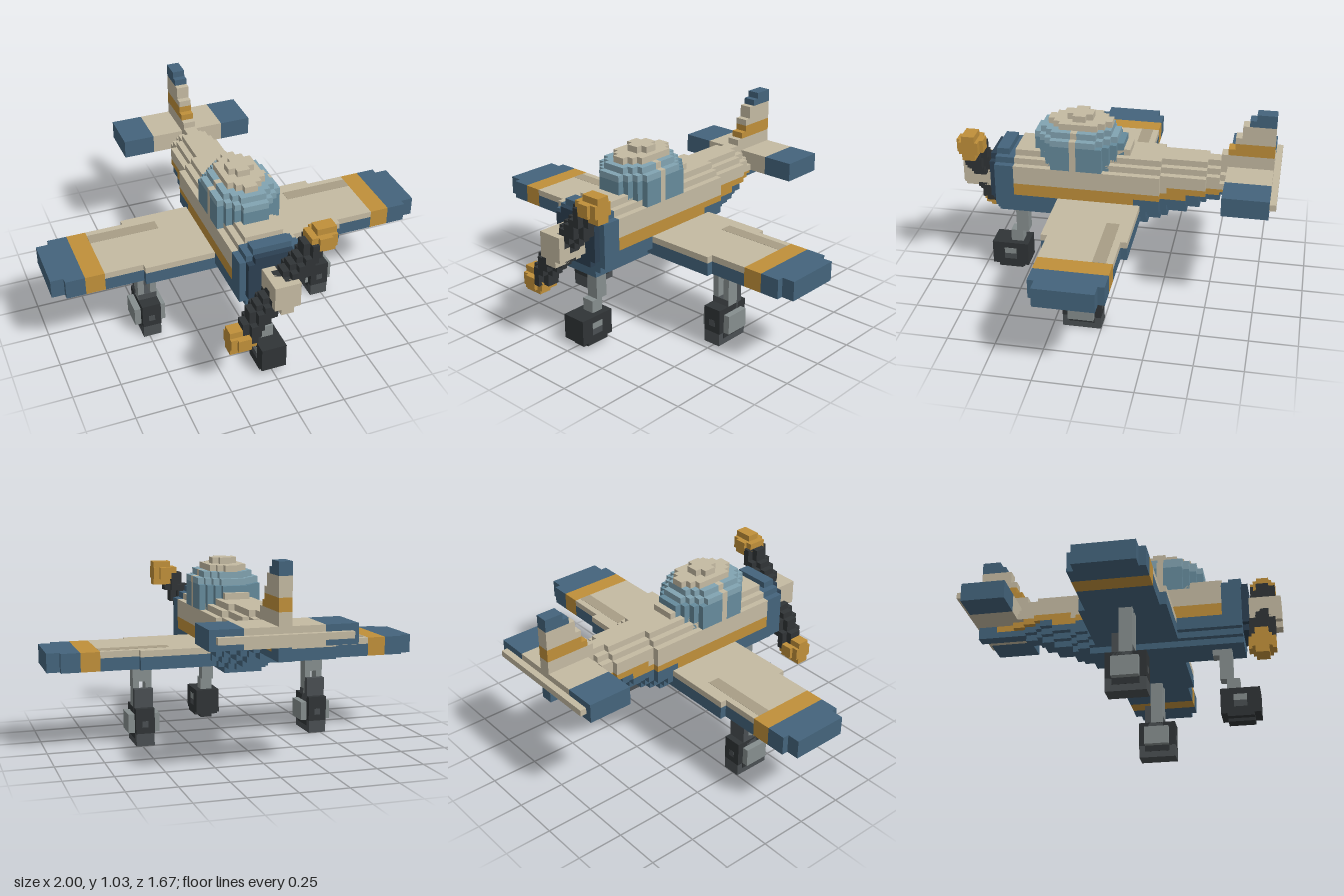
import * as THREE from 'three';
import { mergeGeometries } from 'three/addons/utils/BufferGeometryUtils.js';

const C = {
  blue: 0x44647c, navy: 0x2c4052, beige: 0xc4baa2, shade: 0xa89e86, gold: 0xc0903a,
  black: 0x303436, iron: 0x4a4f52, grey: 0x868e8e, glass: 0x82a4b2, glassLow: 0x668b9c,
};
const mats = {};
for (const k in C) mats[k] = new THREE.MeshStandardMaterial({ color: C[k], flatShading: true });

// Block spanning two corners, in cube units (30 cubes = 1 unit)
function block(x0, x1, y0, y1, z0, z1) {
  return new THREE.BoxGeometry(x1 - x0, y1 - y0, z1 - z0)
    .translate((x0 + x1) / 2, (y0 + y1) / 2, (z0 + z1) / 2);
}
function part(parent, name, color, blocks) {
  const mesh = new THREE.Mesh(mergeGeometries(blocks.map(b => block(...b))), mats[color]);
  mesh.name = name;
  parent.add(mesh);
}
function group(parent, name) {
  const g = new THREE.Group();
  g.name = name;
  parent.add(g);
  return g;
}
// Same blocks on both sides
const both = list => list.flatMap(([a, b, ...r]) => [[a, b, ...r], [-b, -a, ...r]]);

function fuselage(root) {
  const g = group(root, 'fuselage');
  // z from, z to, bottom, top, half width, top of blue, top of gold
  const sections = [
    [-3, 16, 12, 23, 5, 16, 18], [-5, -3, 12, 23, 5, 17, 18], [-7, -5, 13, 23, 5, 17, 18],
    [-8, -7, 13, 23, 4, 17, 18], [-11, -8, 14, 23, 4, 17, 19], [-13, -11, 15, 23, 4, 18, 19],
    [-14, -13, 16, 23, 4, 18, 19], [-16, -14, 16, 23, 3, 18, 19], [-18, -16, 17, 22, 3, 18, 19],
    [-21, -18, 17, 22, 2, 18, 19], [-24, -21, 17, 22, 2, 19, 19],
  ];
  const rows = { blue: [], gold: [], beige: [] };
  for (const [z0, z1, bottom, top, hw, blueTop, goldTop] of sections) {
    for (let y = bottom; y < top; y++) {
      const inset = Math.max(0, 2 - (y - bottom), y - (top - 3));
      const w = Math.max(1, hw - inset);
      rows[y < blueTop ? 'blue' : y < goldTop ? 'gold' : 'beige'].push([-w, w, y, y + 1, z0, z1]);
    }
  }
  part(g, 'belly', 'blue', rows.blue);
  part(g, 'sideStripe', 'gold', rows.gold);
  part(g, 'upperBody', 'beige', rows.beige);

  // Engine cowling
  part(g, 'cowling', 'blue', [
    [-3, 3, 12, 13, 16, 19], [-4, 4, 13, 14, 16, 19], [-5, 5, 14, 21, 16, 19],
    [-4, 4, 21, 22, 16, 19], [-3, 3, 22, 23, 17, 19],
  ]);
  part(g, 'cowlingFront', 'navy', [[-4, 4, 15, 21, 19, 20], [-3, 3, 14, 22, 19, 20]]);
}

function canopy(root) {
  const g = group(root, 'canopy');
  // y, half width, z from, z to, color
  const layers = [
    [21, 5, -1, 13, 'glassLow'], [22, 5, -1, 13, 'glassLow'], [23, 5, -1, 13, 'glassLow'],
    [24, 5, -1, 13, 'glassLow'], [25, 5, 0, 13, 'glass'], [26, 4, 1, 12, 'glass'],
    [27, 3, 1, 11, 'beige'], [28, 2, 4, 8, 'beige'],
  ];
  const cells = { glassLow: [], glass: [], beige: [] };
  for (const [y, hw, z0, z1, color] of layers) {
    const mid = (z0 + z1) / 2, half = (z1 - z0) / 2;
    for (let z = z0; z < z1; z++) {
      const t = Math.abs(z + 0.5 - mid) / half;
      const w = Math.max(1, Math.round(hw * Math.sqrt(1 - t ** 2.4)));
      cells[z === 6 ? 'beige' : color].push([-w, w, y, y + 1, z, z + 1]);
    }
  }
  part(g, 'lowerGlass', 'glassLow', cells.glassLow);
  part(g, 'upperGlass', 'glass', cells.glass);
  part(g, 'roofAndFrame', 'beige', cells.beige);
  part(g, 'rearFairing', 'beige', [[-2, 2, 22, 24, -2, 0]]);
}

function wings(root) {
  const g = group(root, 'wings');
  part(g, 'wingTop', 'beige', both([[4, 16, 15, 16, -4, 9], [16, 22, 15, 16, -3, 8]]));
  part(g, 'wingUnderside', 'blue', both([[4, 16, 13, 15, -4, 9], [16, 22, 13, 15, -3, 8]]));
  part(g, 'wingBand', 'gold', both([[22, 25, 13, 16, -3, 8]]));
  part(g, 'wingTip', 'blue', both([[25, 28, 13, 16, -3, 8], [28, 30, 13, 16, -2, 7]]));
  part(g, 'flap', 'shade', both([[11, 22, 15.5, 16.03, -2, 0]]));
}

function tail(root) {
  const g = group(root, 'tail');
  part(g, 'tailplane', 'beige', [[-6, 6, 19, 22, -24, -17]]);
  part(g, 'tailplaneTip', 'blue', both([[6, 11, 19, 22, -24, -17]]));
  part(g, 'elevator', 'beige', [[-10, 10, 20, 21, -25, -24]]);
  part(g, 'finBase', 'beige', [[-1, 1, 22, 24, -24, -16]]);
  part(g, 'finBand', 'gold', [[-1, 1, 24, 25, -24, -17], [-1, 1, 25, 26, -24, -18]]);
  part(g, 'fin', 'beige', [[-1, 1, 26, 27, -24, -18], [-1, 1, 27, 29, -24, -19]]);
  part(g, 'finTip', 'blue', [[-1, 1, 29, 30, -24, -20], [-1, 1, 30, 31, -24, -21]]);
}

function propeller(root) {
  const g = group(root, 'propeller');
  // Stepped diagonal blade, thinner at its edges
  const blade = [];
  for (let y = 10; y < 25; y++) {
    const c = 0.8 * (y + 0.5 - 17.5);
    const x0 = Math.max(-6, Math.round(c - 2.2)), x1 = Math.min(6, Math.round(c + 2.2));
    blade.push([x0, x1, y, y + 1, 21, 23], [x0 + 1, x1 - 1, y, y + 1, 20, 24]);
  }
  part(g, 'blades', 'black', blade);
  const tips = [];
  for (const s of [1, -1]) {
    const add = (cx, cy, w, h, z0, z1) =>
      tips.push([s * cx - w, s * cx + w, 17.5 + s * cy - h, 17.5 + s * cy + h, z0, z1]);
    add(6.5, 7.5, 1.5, 2, 21, 23);
    add(6, 7.5, 1, 1, 19.95, 24.05);
    add(6, 7.5, 2, 1, 20.5, 23.5);
  }
  part(g, 'bladeTips', 'gold', tips);
  part(g, 'spinner', 'beige', [[-2, 2, 16, 20, 20, 25], [-1, 1, 15, 20, 20, 25]]);
}

function noseGear(root) {
  const g = group(root, 'noseGear');
  part(g, 'noseStrut', 'grey', [
    [-1, 1, 4, 7, 16, 18], [-1, 1, 7, 11, 15, 17], [-1, 1, 11, 13, 14, 17],
  ]);
  part(g, 'noseWheel', 'black', [[-2, 2, 1, 5, 15, 21], [-1, 1, 0, 5, 16, 20], [-2, 2, 0.5, 1, 16, 20]]);
  part(g, 'noseHub', 'grey', [[-2.04, 2.04, 3, 4, 17, 19]]);
  part(g, 'noseHubShade', 'iron', [[-2.04, 2.04, 2, 3, 17, 19]]);
}

function mainGear(root, side) {
  const g = group(root, side > 0 ? 'leftGear' : 'rightGear');
  g.position.x = side * 14.5;
  part(g, 'strut', 'grey', [[-1.5, -0.5, 6, 13, 2, 4], [0.5, 1.5, 6, 13, 2, 4], [-0.5, 0.5, 10, 13, 2, 3.5]]);
  part(g, 'brace', 'iron', [[-1.5, 1.5, 5, 9, 1, 2], [-1.5, 1.5, 5, 7, 2, 4.05]]);
  part(g, 'tyre', 'black', [[-1.5, 1.5, 2, 6, 0, 6], [-1.5, 1.5, 1, 6, 1, 5]]);
  part(g, 'tyreCorners', 'iron', [[-1.45, 1.45, 0, 2, 0, 6]]);
  part(g, 'hub', 'grey', [[-2.5, 2.5, 2, 5, 1, 5]]);
  part(g, 'axleCap', 'iron', [[-0.5, 0.5, 3, 4, -0.04, 6.04]]);
}

export function createModel() {
  const model = new THREE.Group();
  model.name = 'airplane';
  fuselage(model);
  canopy(model);
  wings(model);
  tail(model);
  propeller(model);
  noseGear(model);
  for (const side of [1, -1]) mainGear(model, side);
  model.scale.setScalar(1 / 30);
  return model;
}
